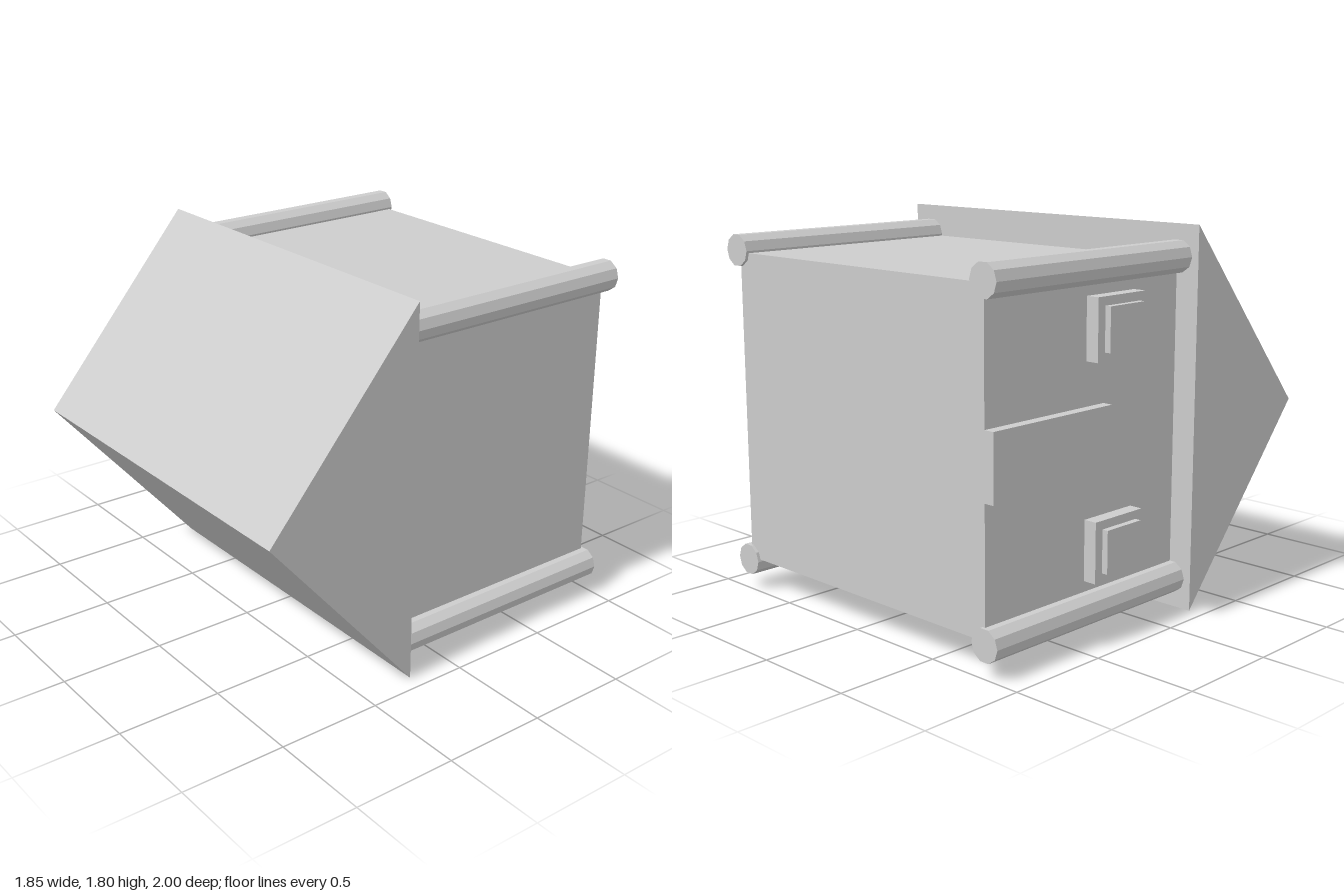
import * as THREE from 'three';

export function createModel() {
  const group = new THREE.Group();
  const grey = new THREE.MeshStandardMaterial({ color: 0xcccccc, flatShading: true });
  grey.name = 'plain grey';

  const MID = 0.898;      // height of the roof ridge and symmetry plane
  const EAVES = 0.235;    // z where the roof meets the walls

  const add = (name, geometry) => {
    const mesh = new THREE.Mesh(geometry, grey);
    mesh.name = name;
    group.add(mesh);
    return mesh;
  };

  // Box given by its minimum and maximum corners
  const addBox = (name, [x0, y0, z0], [x1, y1, z1]) =>
    add(name, new THREE.BoxGeometry(x1 - x0, y1 - y0, z1 - z0))
      .position.set((x0 + x1) / 2, (y0 + y1) / 2, (z0 + z1) / 2);

  // House body, lying on its side with the roof pointing forward
  addBox('walls', [-0.805, MID - 0.742, -0.985], [0.805, MID + 0.742, EAVES]);

  // Gable roof: triangle in (z, y) extruded along x
  const gable = new THREE.Shape([
    new THREE.Vector2(-EAVES, 0),
    new THREE.Vector2(-EAVES, MID * 2),
    new THREE.Vector2(-1, MID),
  ]);
  const roof = new THREE.ExtrudeGeometry(gable, { depth: 1.85, bevelEnabled: false });
  roof.translate(0, 0, -0.925).rotateY(Math.PI / 2);
  add('roof', roof);

  // Ten-sided corner posts running along z
  const post = new THREE.CylinderGeometry(0.076, 0.076, 1 + EAVES, 10);
  post.rotateY(Math.PI / 2).rotateX(Math.PI / 2);
  for (const sx of [-1, 1]) {
    for (const sy of [-1, 1]) {
      add('cornerPost', post).position.set(sx * 0.814, MID + sy * 0.752, (EAVES - 1) / 2);
    }
  }

  // Door on the right wall
  addBox('door', [-0.855, MID - 0.152, -0.985], [-0.8, MID + 0.152, -0.26]);

  // Two stepped windows beside the door
  for (const s of [-1, 1]) {
    const y = MID + s * 0.49;
    addBox('windowFrame', [-0.87, y - 0.14, -0.375], [-0.8, y + 0.14, -0.065]);
    addBox('windowPane', [-0.9, y - 0.1, -0.33], [-0.865, y + 0.1, -0.105]);
  }

  return group;
}
